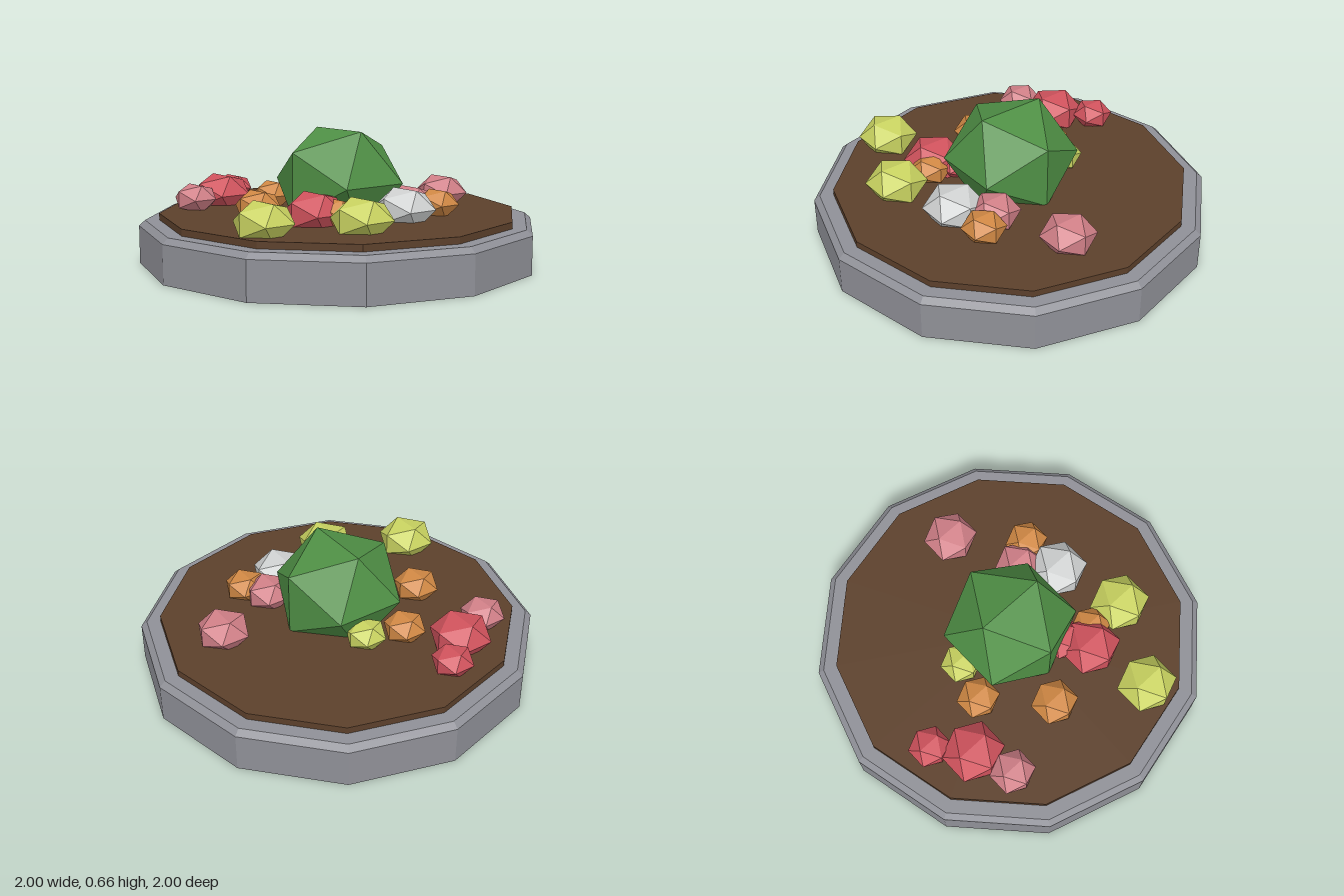
import * as THREE from 'three';

const mat = (name, color) => {
  const m = new THREE.MeshStandardMaterial({ color, flatShading: true });
  m.name = name;
  return m;
};

export function createModel() {
  const group = new THREE.Group();
  const stone = mat('stone grey', 0x8f9097);
  const soil = mat('soil brown', 0x5c402b);
  const leaf = mat('leaf green', 0x4f8f45);
  const red = mat('red petals', 0xcf525c);
  const pink = mat('pink petals', 0xd07f87);
  const orange = mat('orange petals', 0xd08844);
  const yellow = mat('yellow petals', 0xc8d260);
  const white = mat('white petals', 0xcfd1d1);

  const add = (name, geometry, material, x = 0, y = 0, z = 0) => {
    const mesh = new THREE.Mesh(geometry, material);
    mesh.name = name;
    mesh.position.set(x, y, z);
    group.add(mesh);
    return mesh;
  };

  // Twelve-sided stone border with a chamfered rim
  const profile = [[0, 0], [1, 0], [1, 0.19], [0.97, 0.217], [0, 0.217]]
    .map(([r, y]) => new THREE.Vector2(r, y));
  add('stoneBorder', new THREE.LatheGeometry(profile, 12), stone);

  // Raised soil bed
  add('soilBed', new THREE.CylinderGeometry(0.9, 0.9, 0.1, 12), soil, 0, 0.2, 0);

  // Icosahedron turned so that one pair of corners lies on the z axis
  const blob = new THREE.IcosahedronGeometry(1, 0);
  blob.rotateY(-1.0172);

  // Central bush
  add('bush', blob, leaf, 0, 0.4, 0).scale.set(0.338, 0.305, 0.338);

  // Flowers: material, x, z, radius
  const flowers = [
    [red, -0.52, -0.505, 0.107],
    [red, -0.585, -0.3, 0.158],
    [red, -0.16, 0.38, 0.157],
    [red, -0.1, 0.26, 0.112],
    [pink, -0.72, -0.13, 0.115],
    [pink, 0.57, -0.207, 0.14],
    [pink, 0.347, 0.115, 0.127],
    [orange, -0.32, -0.225, 0.11],
    [orange, -0.415, 0.143, 0.12],
    [orange, 0.47, 0.18, 0.112],
    [orange, -0.06, 0.405, 0.107],
    [yellow, -0.125, -0.275, 0.107],
    [yellow, -0.41, 0.615, 0.153],
    [yellow, 0.04, 0.58, 0.156],
    [white, 0.285, 0.307, 0.157],
  ];
  flowers.forEach(([material, x, z, r], i) => {
    add(`flower${i + 1}`, blob, material, x, 0.303, z).scale.set(r, r * 0.7, r);
  });

  return group;
}
